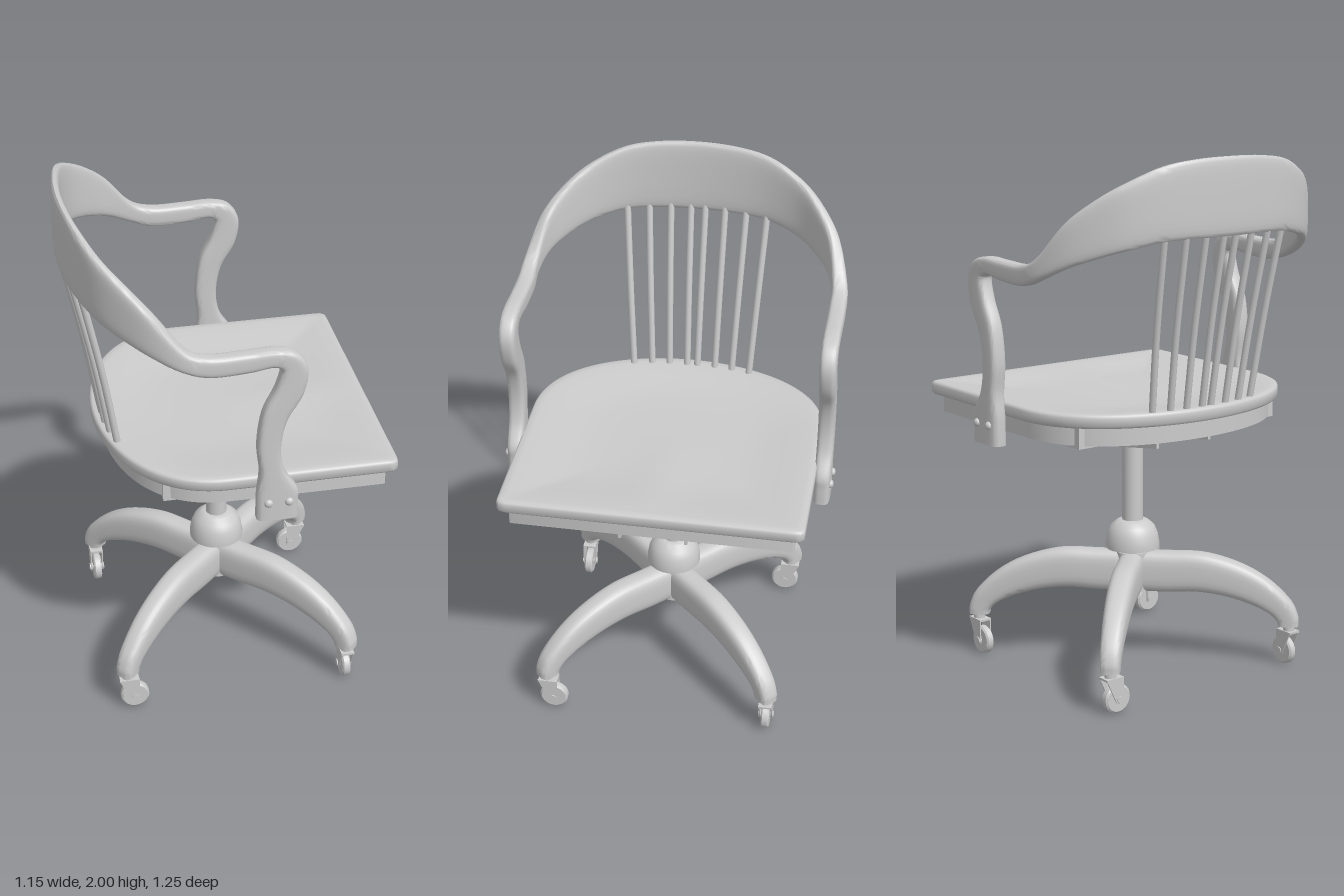
import * as THREE from 'three';
import { toCreasedNormals } from 'three/addons/utils/BufferGeometryUtils.js';

const mat = new THREE.MeshStandardMaterial({ color: 0xcccccc });
const V = (x, y, z) => new THREE.Vector3(x, y, z);

function add(parent, name, geo, x = 0, y = 0, z = 0) {
  const m = new THREE.Mesh(geo, mat);
  m.name = name;
  m.position.set(x, y, z);
  parent.add(m);
  return m;
}

// Skin closed rings, cap both ends, and turn the faces outward.
function loft(rings, crease = 0.7) {
  const n = rings[0].length, pts = rings.flat(), idx = [];
  for (let i = 0; i < rings.length - 1; i++) {
    for (let j = 0; j < n; j++) {
      const a = i * n + j, b = i * n + (j + 1) % n;
      idx.push(a, b, b + n, a, b + n, a + n);
    }
  }
  const cap = (start, flip) => {
    const c = V(0, 0, 0);
    for (let j = 0; j < n; j++) c.addScaledVector(pts[start + j], 1 / n);
    const k = pts.push(c) - 1;
    for (let j = 0; j < n; j++) {
      const a = start + j, b = start + (j + 1) % n;
      idx.push(k, flip ? b : a, flip ? a : b);
    }
  };
  cap(0, true);
  cap((rings.length - 1) * n, false);
  let volume = 0;
  for (let i = 0; i < idx.length; i += 3) {
    volume += pts[idx[i]].dot(V(0, 0, 0).crossVectors(pts[idx[i + 1]], pts[idx[i + 2]]));
  }
  if (volume < 0) idx.reverse();
  const g = new THREE.BufferGeometry().setFromPoints(pts);
  g.setIndex(idx);
  return toCreasedNormals(g, crease);
}

// Sweep a rounded section; each station has an upper point, a lower point and a half-width vector.
function sweep(stations, steps, power) {
  const curves = [0, 1, 2].map(k => new THREE.CatmullRomCurve3(stations.map(s => s[k]), false, 'catmullrom', 0.5));
  const soft = v => Math.sign(v) * Math.abs(v) ** power;
  const rings = [];
  for (let i = 0; i <= steps; i++) {
    const [a, b, w] = curves.map(c => c.getPoint(i / steps));
    const mid = a.clone().add(b).multiplyScalar(0.5), up = a.clone().sub(mid);
    rings.push(Array.from({ length: 24 }, (_, j) => {
      const t = (j + 0.5) / 24 * Math.PI * 2;
      return mid.clone().addScaledVector(up, soft(Math.cos(t))).addScaledVector(w, soft(Math.sin(t)));
    }));
  }
  return loft(rings);
}

// Seat plan: square front at +x, round back at -x.
function plan(d, r, T = THREE.Shape) {
  const f = 0.575 - d, w = 0.56 - d, b = -0.465 + d, s = new T();
  s.moveTo(f, 0).lineTo(f, w - r).quadraticCurveTo(f, w, f - r, w).lineTo(-0.05, w);
  s.bezierCurveTo(-0.35 + d * 0.7, w, b, 0.25, b, 0).bezierCurveTo(b, -0.25, -0.35 + d * 0.7, -w, -0.05, -w);
  s.lineTo(f - r, -w).quadraticCurveTo(f, -w, f, r - w).lineTo(f, 0);
  return s;
}

function buildSeat(chair) {
  const outline = plan(0, 0.03).getSpacedPoints(200).slice(0, -1);
  const ring = (s, y, saddle) => outline.map(p => {
    const x = 0.05 + (p.x - 0.05) * s, z = p.y * s;
    const ridge = 1 - 0.5 * Math.exp(-((z / 0.12) ** 2)) * THREE.MathUtils.smoothstep(x, -0.1, 0.4);
    const dip = saddle ? 0.024 * THREE.MathUtils.smoothstep(1 - s, 0.02, 0.5) * ridge : 0;
    return V(x, y - dip, z);
  });
  const rings = [[0.985, 1.04], [1, 1.05], [1, 1.078], [0.995, 1.086], [0.982, 1.09]].map(([s, y]) => ring(s, y));
  for (const s of [0.94, 0.86, 0.76, 0.64, 0.5, 0.35, 0.2, 0.07]) rings.push(ring(s, 1.09, true));
  add(chair, 'seat', loft(rings, 0.9));

  // Hollow frame below the seat
  const frame = plan(0.038, 0.01);
  frame.holes.push(plan(0.125, 0.01, THREE.Path));
  const g = new THREE.ExtrudeGeometry(frame, { depth: 0.075, bevelEnabled: false, curveSegments: 24 });
  add(chair, 'seatFrame', toCreasedNormals(g.rotateX(Math.PI / 2), 0.6), 0, 1.045, 0);
}

function buildBow(chair) {
  // outer x and top y, outer x and bottom y, outer z, plan angle, thickness
  const half = [
    [-0.575, 2.0, -0.575, 1.72, 0, 0, 0.035], [-0.565, 1.995, -0.565, 1.72, 0.15, 8, 0.035],
    [-0.54, 1.975, -0.54, 1.715, 0.28, 16, 0.037], [-0.49, 1.925, -0.49, 1.69, 0.4, 30, 0.04],
    [-0.42, 1.865, -0.42, 1.66, 0.49, 45, 0.045], [-0.33, 1.78, -0.33, 1.62, 0.565, 60, 0.05],
    [-0.22, 1.655, -0.23, 1.575, 0.608, 78, 0.058], [-0.13, 1.622, -0.13, 1.545, 0.613, 90, 0.062],
    [0, 1.622, 0, 1.548, 0.613, 90, 0.062], [0.1, 1.625, 0.08, 1.56, 0.613, 90, 0.062],
    [0.175, 1.605, 0.11, 1.555, 0.613, 90, 0.062], [0.215, 1.54, 0.12, 1.535, 0.613, 90, 0.062],
    [0.2, 1.44, 0.1, 1.465, 0.613, 90, 0.062], [0.145, 1.34, 0.057, 1.37, 0.613, 90, 0.062],
    [0.125, 1.23, 0.04, 1.24, 0.613, 90, 0.062], [0.14, 1.13, 0.05, 1.13, 0.613, 90, 0.062],
    [0.188, 1.05, 0.042, 1.05, 0.613, 90, 0.062], [0.192, 1.0, 0.04, 1.0, 0.613, 90, 0.062],
    [0.192, 0.93, 0.04, 0.93, 0.613, 90, 0.062],
  ];
  const station = (s, side) => {
    const [xa, ya, xb, yb, z, deg, t] = s, a = THREE.MathUtils.degToRad(deg);
    const w = V(-Math.cos(a) * t / 2, 0, side * Math.sin(a) * t / 2);
    return [V(xa, ya, side * z).sub(w), V(xb, yb, side * z).sub(w),
      side > 0 ? w : w.clone()];
  };
  const all = [...half.slice(1).reverse().map(s => station(s, -1)), ...half.map(s => station(s, 1))];
  add(chair, 'backRailAndArms', sweep(all, 180, 0.5));

  for (const side of [-1, 1]) {
    for (const x of [0.08, 0.155]) {
      add(chair, 'armBolt', new THREE.SphereGeometry(0.016, 16, 10).scale(1, 1, 0.8), x, 1.005, side * 0.612);
    }
    // Spindles: bottom x, bottom z, top x, top z
    for (const [xb, zb, xt, zt] of [[-0.425, 0.02, -0.557, 0.028], [-0.423, 0.09, -0.552, 0.105],
      [-0.415, 0.158, -0.544, 0.188], [-0.4, 0.228, -0.525, 0.27]]) {
      const path = new THREE.CatmullRomCurve3([V(xb, 1.06, side * zb),
        V((xb + xt) / 2 + 0.008, 1.4, side * (zb + zt) / 2), V(xt, 1.75, side * zt)]);
      add(chair, 'spindle', new THREE.TubeGeometry(path, 12, 0.013, 12));
    }
  }
}

function buildMechanism(chair) {
  const rail = new THREE.Shape([[-0.3, 0.96], [-0.3, 0.92], [-0.06, 0.883], [0.2, 0.883], [0.49, 0.915], [0.49, 0.96]]
    .map(p => new THREE.Vector2(...p)));
  for (const side of [-1, 1]) {
    add(chair, 'supportRail', new THREE.ExtrudeGeometry(rail, { depth: 0.012, bevelEnabled: false }), 0, 0, side * 0.122 - 0.006);
    add(chair, 'railFlange', new THREE.BoxGeometry(0.79, 0.008, 0.065), 0.095, 0.958, side * 0.15);
  }
  for (const x of [-0.24, 0.4]) add(chair, 'crossBar', new THREE.BoxGeometry(0.07, 0.08, 0.92), x, 1.0, 0);
  add(chair, 'columnMount', new THREE.BoxGeometry(0.13, 0.07, 0.24), 0.013, 0.92, 0);
  add(chair, 'tiltPlate', new THREE.BoxGeometry(0.012, 0.11, 0.22), 0.165, 0.905, 0);

  // Scalloped tension knob on its rod
  const pts = Array.from({ length: 96 }, (_, i) => {
    const t = i / 96 * Math.PI * 2, r = 0.068 + 0.008 * Math.cos(t * 12);
    return new THREE.Vector2(r * Math.cos(t), r * Math.sin(t));
  });
  const knob = new THREE.ExtrudeGeometry(new THREE.Shape(pts), { depth: 0.03, bevelEnabled: false });
  add(chair, 'tensionKnob', knob.rotateY(Math.PI / 2), 0.2, 0.915, 0);
  add(chair, 'tensionRod', new THREE.CylinderGeometry(0.015, 0.015, 0.16, 16).rotateZ(Math.PI / 2), 0.13, 0.915, 0);
}

function buildCaster() {
  const c = new THREE.Group();
  c.name = 'caster';
  add(c, 'casterStem', new THREE.CylinderGeometry(0.022, 0.022, 0.035, 16), 0, 0.15, 0);
  add(c, 'forkTop', new THREE.BoxGeometry(0.075, 0.008, 0.052), 0.005, 0.136, 0);
  const plate = new THREE.Shape([[-0.034, 0.14], [0.01, 0.045], [0.042, 0.045], [0.043, 0.14]].map(p => new THREE.Vector2(...p)));
  for (const z of [-0.026, 0.021]) add(c, 'forkPlate', new THREE.ExtrudeGeometry(plate, { depth: 0.005, bevelEnabled: false }), 0, 0, z);
  const tyre = [[0, -0.016], [0.048, -0.016], [0.055, -0.01], [0.055, 0.01], [0.048, 0.016], [0, 0.016]];
  const wheel = new THREE.LatheGeometry(tyre.map(p => new THREE.Vector2(...p)), 32);
  add(c, 'wheel', toCreasedNormals(wheel.rotateX(Math.PI / 2), 0.5), 0.026, 0.055, 0);
  add(c, 'axle', new THREE.CylinderGeometry(0.014, 0.014, 0.06, 16).rotateX(Math.PI / 2), 0.026, 0.055, 0);
  return c;
}

function buildBase(chair) {
  const base = new THREE.Group();
  base.name = 'base';
  base.position.x = 0.012;
  chair.add(base);
  add(base, 'column', new THREE.CylinderGeometry(0.04, 0.04, 0.46, 32), 0, 0.67, 0);
  const bell = [[0, 0.44], [0.06, 0.44], [0.06, 0.455], [0.104, 0.455], [0.104, 0.475], [0.098, 0.51], [0.085, 0.54],
    [0.062, 0.56], [0.05, 0.565], [0, 0.565]].map(p => new THREE.Vector2(...p));
  add(base, 'hubBell', toCreasedNormals(new THREE.LatheGeometry(bell, 40), 0.7));
  add(base, 'hubCore', new THREE.CylinderGeometry(0.065, 0.065, 0.155, 32), 0, 0.361, 0);

  // Four curved legs: top r, top y, bottom r, bottom y, width
  const leg = [[0, 0.44, 0, 0.28, 0.1], [0.13, 0.44, 0.13, 0.28, 0.1], [0.28, 0.438, 0.25, 0.285, 0.1],
    [0.42, 0.4, 0.36, 0.272, 0.095], [0.53, 0.34, 0.46, 0.243, 0.088], [0.615, 0.26, 0.53, 0.21, 0.08],
    [0.645, 0.2, 0.562, 0.18, 0.075], [0.648, 0.16, 0.568, 0.16, 0.072]];
  const legGeo = sweep(leg.map(([ra, ya, rb, yb, w]) => [V(ra, ya, 0), V(rb, yb, 0), V(0, 0, w / 2)]), 40, 0.6);
  for (let i = 0; i < 4; i++) {
    const arm = new THREE.Group();
    arm.name = 'legWithCaster';
    arm.rotation.y = i * Math.PI / 2;
    add(arm, 'leg', legGeo).rotation.y = -Math.PI * 0.75;
    const caster = buildCaster();
    caster.position.set(-0.432, 0, 0.432);
    arm.add(caster);
    base.add(arm);
  }
}

export function createModel() {
  const chair = new THREE.Group();
  chair.name = 'swivelArmchair';
  buildSeat(chair);
  buildBow(chair);
  buildMechanism(chair);
  buildBase(chair);
  return chair;
}
